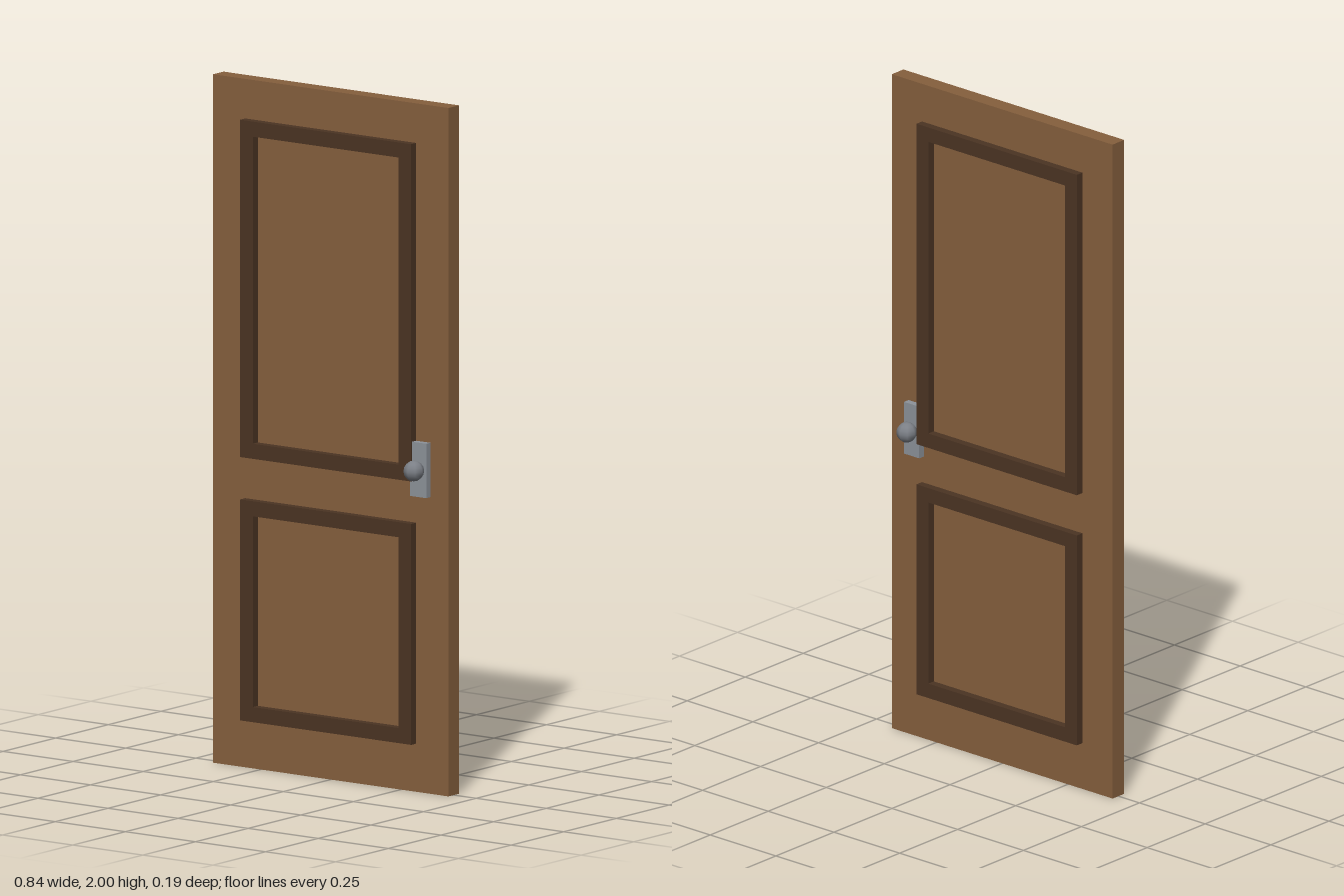
import * as THREE from 'three';

const material = (name, color) => {
  const m = new THREE.MeshStandardMaterial({ color });
  m.name = name;
  return m;
};

export function createModel() {
  const wood = material('wood', 0x855f3d);
  const darkWood = material('dark wood', 0x4b3423);
  const steel = material('steel', 0x8c9299);
  const knobMetal = material('knob metal', 0x7c8087);

  const door = new THREE.Group();
  door.name = 'door';
  const HALF = 0.025; // half the slab thickness

  const add = (parent, name, geometry, mat, x, y, z) => {
    const mesh = new THREE.Mesh(geometry, mat);
    mesh.name = name;
    mesh.position.set(x, y, z);
    parent.add(mesh);
    return mesh;
  };

  // Rectangular path from its left, bottom, right and top edges
  const rectangle = (path, l, b, r, t) =>
    path.moveTo(l, b).lineTo(r, b).lineTo(r, t).lineTo(l, t).closePath();

  // Raised moulding: a rectangle with a rectangular opening
  const moulding = (bottom, top) => {
    const shape = rectangle(new THREE.Shape(), -0.305, bottom, 0.305, top);
    shape.holes.push(rectangle(new THREE.Path(), -0.26, bottom + 0.044, 0.26, top - 0.044));
    return new THREE.ExtrudeGeometry(shape, { depth: 0.024, bevelEnabled: false });
  };

  // Slab
  add(door, 'slab', new THREE.BoxGeometry(0.84, 2, HALF * 2), wood, 0, 1, 0);

  // Mouldings and handle on both faces
  for (const side of [1, -1]) {
    const face = new THREE.Group();
    face.name = side > 0 ? 'frontFace' : 'backFace';
    const z = side > 0 ? HALF : -HALF - 0.024;
    add(face, 'upperMoulding', moulding(0.905, 1.885), darkWood, 0, 0, z);
    add(face, 'lowerMoulding', moulding(0.14, 0.782), darkWood, 0, 0, z);
    add(face, 'handlePlate', new THREE.BoxGeometry(0.058, 0.158, 0.02), steel,
      0.327, 0.941, side * (HALF + 0.01));
    add(face, 'knob', new THREE.SphereGeometry(0.03, 8, 8), knobMetal, 0.327, 0.941, side * 0.066);
    door.add(face);
  }
  return door;
}
